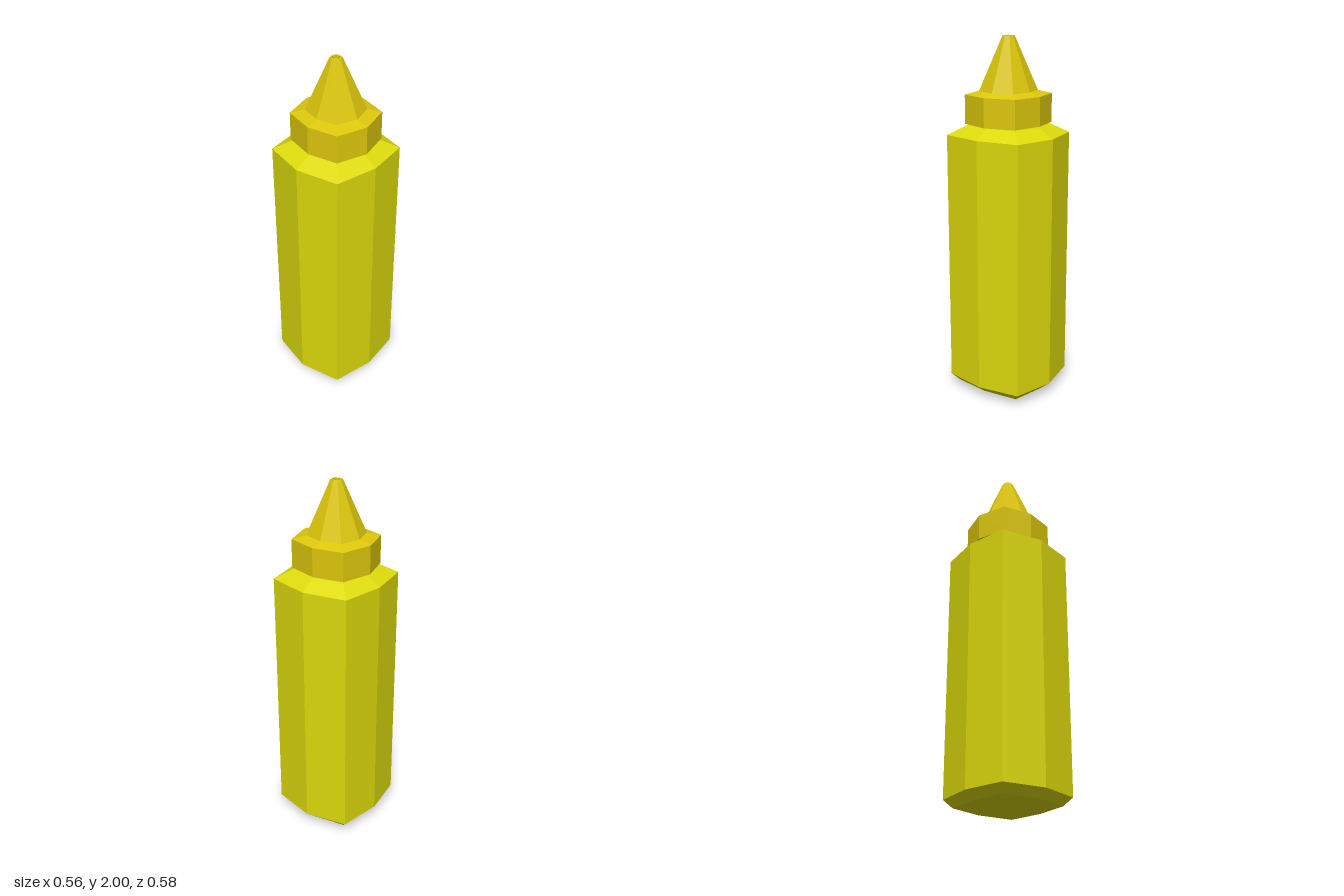
import * as THREE from 'three';

// Eight-sided ring: half-width in x, half-depth in z, corner offset
function ring([y, mx, mz, c]) {
  return [[mx, 0], [c, c], [0, mz], [-c, c], [-mx, 0], [-c, -c], [0, -mz], [c, -c]]
    .map(([x, z]) => [x, y, z]);
}

// Skin a stack of rings, closing each end with a fan to its centre point
function loft(name, material, profile, bottomY, topY) {
  const rings = profile.map(ring);
  const pos = [];
  const tri = (a, b, c) => pos.push(...a, ...b, ...c);
  const last = rings[rings.length - 1];
  for (let i = 0; i < 8; i++) {
    const j = (i + 1) % 8;
    for (let k = 0; k < rings.length - 1; k++) {
      const lo = rings[k], hi = rings[k + 1];
      tri(lo[i], hi[i], hi[j]);
      tri(lo[i], hi[j], lo[j]);
    }
    tri([0, bottomY, 0], rings[0][i], rings[0][j]);
    tri([0, topY, 0], last[j], last[i]);
  }
  const geometry = new THREE.BufferGeometry();
  geometry.setAttribute('position', new THREE.Float32BufferAttribute(pos, 3));
  geometry.computeVertexNormals();
  const mesh = new THREE.Mesh(geometry, material);
  mesh.name = name;
  return mesh;
}

export function createModel() {
  const group = new THREE.Group();
  group.name = 'squeezeBottle';
  const bodyMaterial = new THREE.MeshStandardMaterial({ color: 0xdedb0c, flatShading: true });
  const capMaterial = new THREE.MeshStandardMaterial({ color: 0xdec80c, flatShading: true });

  // Body with bevelled, slightly domed base and sloping shoulder
  group.add(loft('body', bodyMaterial, [
    [0.025, 0.225, 0.235, 0.2],
    [0.07, 0.278, 0.29, 0.237],
    [1.477, 0.278, 0.29, 0.237],
    [1.528, 0.19, 0.195, 0.16],
  ], 0, 1.528));

  // Screw cap collar
  group.add(loft('cap', capMaterial, [
    [1.535, 0.216, 0.206, 0.167],
    [1.692, 0.216, 0.206, 0.167],
    [1.71, 0.147, 0.14, 0.113],
  ], 1.535, 1.71));

  // Tapered nozzle with a shallow hole at the tip
  group.add(loft('nozzle', capMaterial, [
    [1.71, 0.147, 0.14, 0.113],
    [2.0, 0.03, 0.029, 0.023],
    [2.0, 0.021, 0.02, 0.016],
    [1.985, 0.021, 0.02, 0.016],
  ], 1.71, 1.985));

  return group;
}
